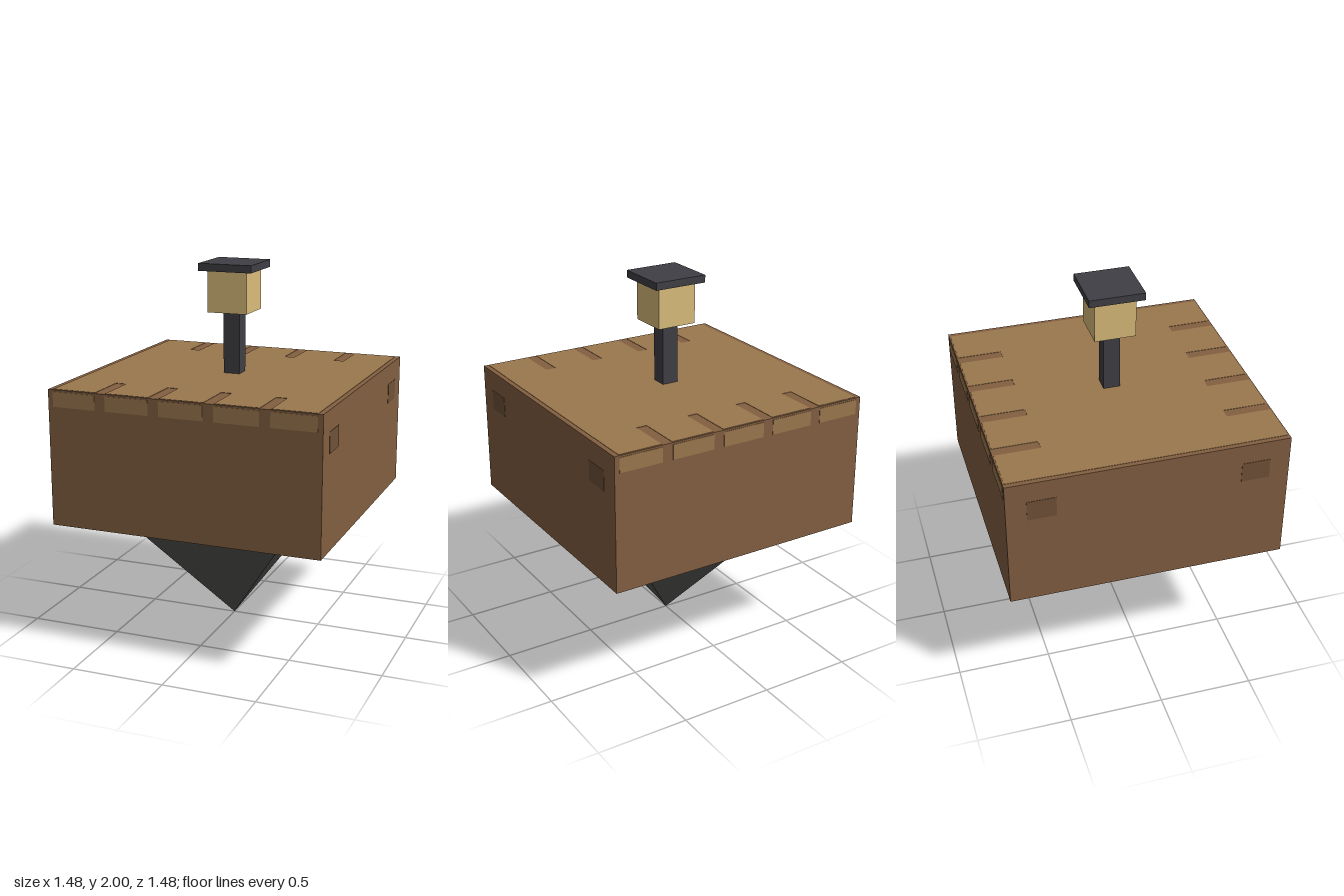
import * as THREE from 'three';

const material = (color) => new THREE.MeshStandardMaterial({ color, flatShading: true });

export function createModel() {
  const model = new THREE.Group();
  model.name = 'floatingIslandWithLamp';

  const soil = material(0x835f41);
  const plank = material(0x9b784e);
  const darkSoil = material(0x705238);
  const rock = material(0x555452);
  const iron = material(0x403f45);
  const glow = material(0xdbbd7b);

  // Box given by its size, its bottom height and its x, z centre
  function box(name, mat, [w, h, d], bottom, x = 0, z = 0, parent = model) {
    const mesh = new THREE.Mesh(new THREE.BoxGeometry(w, h, d), mat);
    mesh.name = name;
    mesh.position.set(x, bottom + h / 2, z);
    parent.add(mesh);
    return mesh;
  }

  // Inverted rock pyramid, square and aligned with the island
  const pyramid = new THREE.ConeGeometry(0.475 * Math.SQRT2, 0.67, 4);
  pyramid.rotateY(Math.PI / 4);
  pyramid.rotateX(Math.PI);
  const rockBase = new THREE.Mesh(pyramid, rock);
  rockBase.name = 'rockBase';
  rockBase.position.y = 0.335;
  model.add(rockBase);

  // Earth block
  box('soilBlock', soil, [1.472, 0.73, 1.472], 0.67);

  // Deck panel on top, with short planks along the front and back edges
  const deck = new THREE.Group();
  deck.name = 'deck';
  model.add(deck);
  box('deckPanel', plank, [1.42, 0.09, 0.98], 1.312, 0, 0, deck);
  for (const side of [1, -1]) {
    for (let i = -2; i <= 2; i++) {
      // Upper surface stops short of the edge, leaving a thin soil rim
      box('edgePlankTop', plank, [0.238, 0.09, 0.238], 1.312, i * 0.295, side * 0.609, deck);
      box('edgePlankFace', plank, [0.238, 0.08, 0.02], 1.31, i * 0.295, side * 0.728, deck);
    }
  }

  // Dark patches set into the left and right faces
  for (const x of [1, -1]) {
    for (const z of [1, -1]) {
      box('soilPatch', darkSoil, [0.02, 0.11, 0.15], 1.18, x * 0.728, z * 0.555);
    }
  }

  // Lamp: post, lantern and cap
  const lamp = new THREE.Group();
  lamp.name = 'lamp';
  model.add(lamp);
  box('lampPost', iron, [0.09, 0.345, 0.09], 1.395, 0, 0, lamp);
  box('lantern', glow, [0.22, 0.225, 0.22], 1.737, 0, 0, lamp);
  box('lampCap', iron, [0.296, 0.04, 0.296], 1.96, 0, 0, lamp);

  return model;
}
